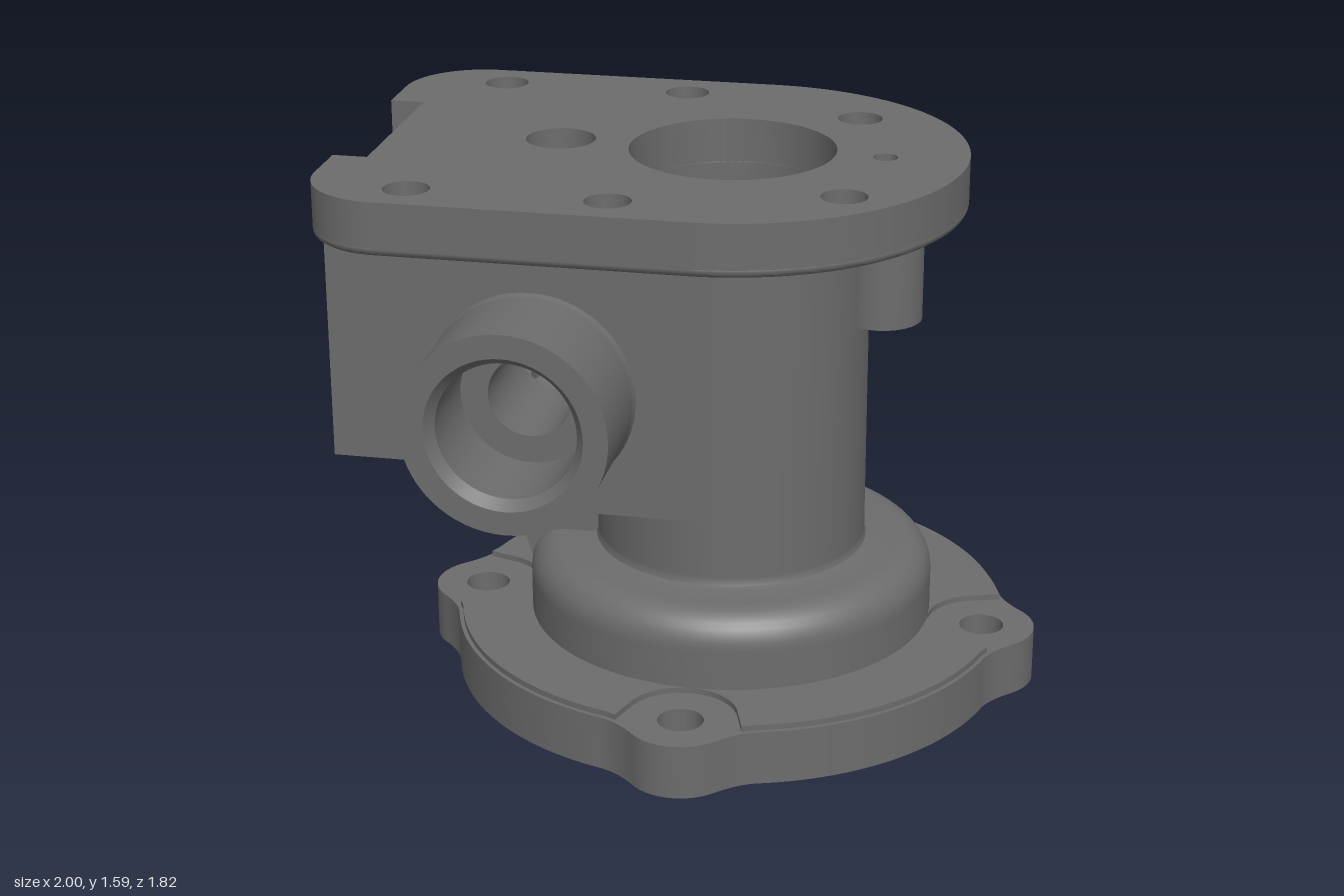
import * as THREE from 'three';
import { toCreasedNormals } from 'three/addons/utils/BufferGeometryUtils.js';

const CX = 0.09; // main bore axis
const V = (x, y) => new THREE.Vector2(x, y);
const PI = Math.PI;

export function createModel() {
  const model = new THREE.Group();
  const mat = new THREE.MeshStandardMaterial({ color: 0x6c6c6c });

  const add = (name, geo, x = 0, y = 0, z = 0) => {
    const mesh = new THREE.Mesh(toCreasedNormals(geo, 0.6), mat);
    mesh.name = name;
    mesh.position.set(x, y, z);
    model.add(mesh);
  };
  const punch = (shape, holes) => {
    for (const [x, y, r] of holes) shape.holes.push(new THREE.Path().absarc(x, y, r, 0, 2 * PI, false));
    return shape;
  };
  const extrude = (shape, depth, bevel = 0) =>
    new THREE.ExtrudeGeometry(shape, {
      depth: depth - 2 * bevel, curveSegments: 40,
      bevelEnabled: bevel > 0, bevelThickness: bevel, bevelSize: bevel, bevelSegments: 4,
    }).translate(0, 0, bevel);
  // Plan shape (x, z) raised from y0 to y1
  const slab = (name, shape, y0, y1, bevel) =>
    add(name, extrude(shape, y1 - y0, bevel).rotateX(PI / 2), 0, y1, 0);
  const box = (name, x0, x1, y0, y1, z0, z1) =>
    add(name, new THREE.BoxGeometry(x1 - x0, y1 - y0, z1 - z0), (x0 + x1) / 2, (y0 + y1) / 2, (z0 + z1) / 2);
  const lathe = (pts, n = 64) => new THREE.LatheGeometry(pts.map(p => V(...p)), n);

  // Base flange: round plate with four round, blended lugs
  const polar = fn => {
    const pts = [];
    for (let i = 0; i < 480; i++) {
      const t = (i / 480) * 2 * PI;
      const a = t - Math.round(t / (PI / 2)) * (PI / 2); // angle from nearest lug
      const r = fn(Math.abs(a));
      pts.push(V(CX + r * Math.cos(t), r * Math.sin(t)));
    }
    return new THREE.Shape(pts);
  };
  const circleReach = (a, r, side) =>
    0.755 * Math.cos(a) + side * Math.sqrt(r * r - (0.755 * Math.sin(a)) ** 2);
  const rim = a => {
    if (a < 0.13) return circleReach(a, 0.155, 1);
    return 0.815 + (a < 0.282 ? 0.0538 * ((0.282 - a) / 0.152) ** 2 : 0);
  };
  const lugs = [0, 1, 2, 3].map(i => [CX + 0.755 * Math.cos(i * PI / 2), 0.755 * Math.sin(i * PI / 2), 0.065]);
  slab('baseFlange', punch(polar(rim), [[CX, 0, 0.53], ...lugs]), 0, 0.16);
  // Raised top layer, cut away around the bolt spot faces
  slab('baseFlangeTop', punch(polar(a =>
    0.755 * Math.sin(a) < 0.16 ? circleReach(a, 0.16, -1) : rim(a) - 0.012), [[CX, 0, 0.53]]), 0.16, 0.177);

  // Column, rounded shoulder, through bore and bottom recess
  const shoulder = [];
  for (let i = 0; i <= 8; i++) {
    const a = (i / 8) * PI / 2;
    shoulder.push([0.495 + 0.1 * Math.cos(a), 0.3 + 0.1 * Math.sin(a)]);
  }
  add('column', lathe([[0.595, 0.15], [0.595, 0.29], ...shoulder, [0.415, 0.4], [0.4, 0.406], [0.395, 0.42],
    [0.395, 0.43], [0.395, 1.5], [0.295, 1.585], [0.295, 0.3], [0.5, 0.3], [0.5, 0.03], [0.53, 0]], 96), CX);

  // Top flange: round at one end, grooved at the other
  const outline = i => {
    const s = new THREE.Shape();
    s.moveTo(CX, -0.67 + i);
    s.lineTo(-0.77, -0.67 + i);
    s.absarc(-0.77, -0.44, 0.23 - i, -PI / 2, -PI, true);
    s.lineTo(-1 + i, -0.28 - i);
    s.lineTo(-0.9 + i, -0.28 - i);
    s.lineTo(-0.9 + i, 0.28 + i);
    s.lineTo(-1 + i, 0.28 + i);
    s.lineTo(-1 + i, 0.44);
    s.absarc(-0.77, 0.44, 0.23 - i, PI, PI / 2, true);
    s.lineTo(CX, 0.67 - i);
    s.absarc(CX, 0, 0.67 - i, PI / 2, -PI / 2, true);
    return s;
  };
  const bolts = r => [[-0.71, -0.535, r], [-0.71, 0.535, r], [-0.15, -0.535, r], [-0.15, 0.535, r],
    [0.4, -0.365, r], [0.465, 0.375, r]];
  const bores = grow => [[CX, 0, 0.295 + grow], [-0.41, 0, 0.1 + grow], [0.525, 0, 0.035 + grow]];
  slab('topFlange', punch(outline(0), [...bolts(0.065), ...bores(0)]), 1.453, 1.585);
  // Rounded lower edge with spot faces round the bolt holes
  slab('topFlangeUnderside', punch(outline(0.02), [...bolts(0.1), ...bores(0.02)]), 1.43, 1.475, 0.02);

  // Side housing: front and back walls
  for (const s of [1, -1]) {
    const wall = new THREE.Shape([V(-1, 1.43), V(-1, 0.72), V(-0.64, 0.72), V(-0.617, 0.71), V(-0.605, 0.685),
      V(-0.6, 0.6), V(CX, 0.6), V(CX, 1.43)]);
    if (s > 0) punch(wall, [[-0.41, 0.955, 0.12]]);
    add(s > 0 ? 'housingFrontWall' : 'housingBackWall', extrude(wall, 0.04), 0, 0, s > 0 ? 0.355 : -0.395);
    box('grooveLip', -1, -0.86, 0.72, 1.43, s > 0 ? 0.28 : -0.395, s > 0 ? 0.395 : -0.28);
  }
  // Housing floor, hugging the column
  const floor = new THREE.Shape();
  floor.moveTo(CX, 0.395);
  floor.lineTo(-0.6, 0.395);
  floor.lineTo(-0.6, -0.395);
  floor.lineTo(CX, -0.395);
  floor.lineTo(CX, -0.35);
  floor.absarc(CX, 0, 0.35, -PI / 2, -1.5 * PI, true);
  slab('housingFloor', floor, 0.6, 0.73);
  box('housingStep', -0.9, -0.56, 0.72, 0.75, -0.39, 0.39);

  // Grooved end wall with its ports
  const end = new THREE.Shape([V(-0.36, 0.72), V(0.36, 0.72), V(0.36, 1.43), V(-0.36, 1.43)]);
  const endHoles = [[0, 1.155, 0.125], [0, 1.388, 0.027], [0, 0.922, 0.027]];
  add('housingEndWall', extrude(punch(end, endHoles), 0.04).rotateY(-PI / 2), -0.86);
  endHoles.forEach(([, y, r], i) => {
    const p = i ? [[r, 0], [r, -0.15], [0, -0.17]] : [[r, 0], [r, -0.42]];
    add('endPort', lathe(p, 32).rotateZ(PI / 2), -0.9, y, 0);
  });

  // Blind vertical bores, facing inward
  add('valveBore', lathe([[0.1, 1.585], [0.1, 0.83], [0, 0.76]], 40), -0.41);
  add('pinBore', lathe([[0.035, 1.585], [0.035, 1.25], [0, 1.23]], 24), 0.525);

  // Front port with counterbore
  add('frontPort', lathe([[0.305, 0.385], [0.295, 0.41], [0.295, 0.42], [0.295, 0.715], [0.225, 0.715],
    [0.2, 0.68], [0.2, 0.42], [0.12, 0.42], [0.12, 0.06]]).rotateX(PI / 2), -0.41, 0.955, 0);

  // Pin post below the top flange
  add('pinPost', new THREE.CylinderGeometry(0.118, 0.118, 0.33, 40), 0.523, 1.275, 0);

  // Sloped rib under the housing
  const rib = new THREE.Shape([V(-0.6, 0.64), V(-0.5, 0.31), V(-0.43, 0.31), V(-0.35, 0.38),
    V(-0.26, 0.42), V(-0.26, 0.64)]);
  add('rib', extrude(rib, 0.18), 0, 0, -0.09);

  return model;
}
